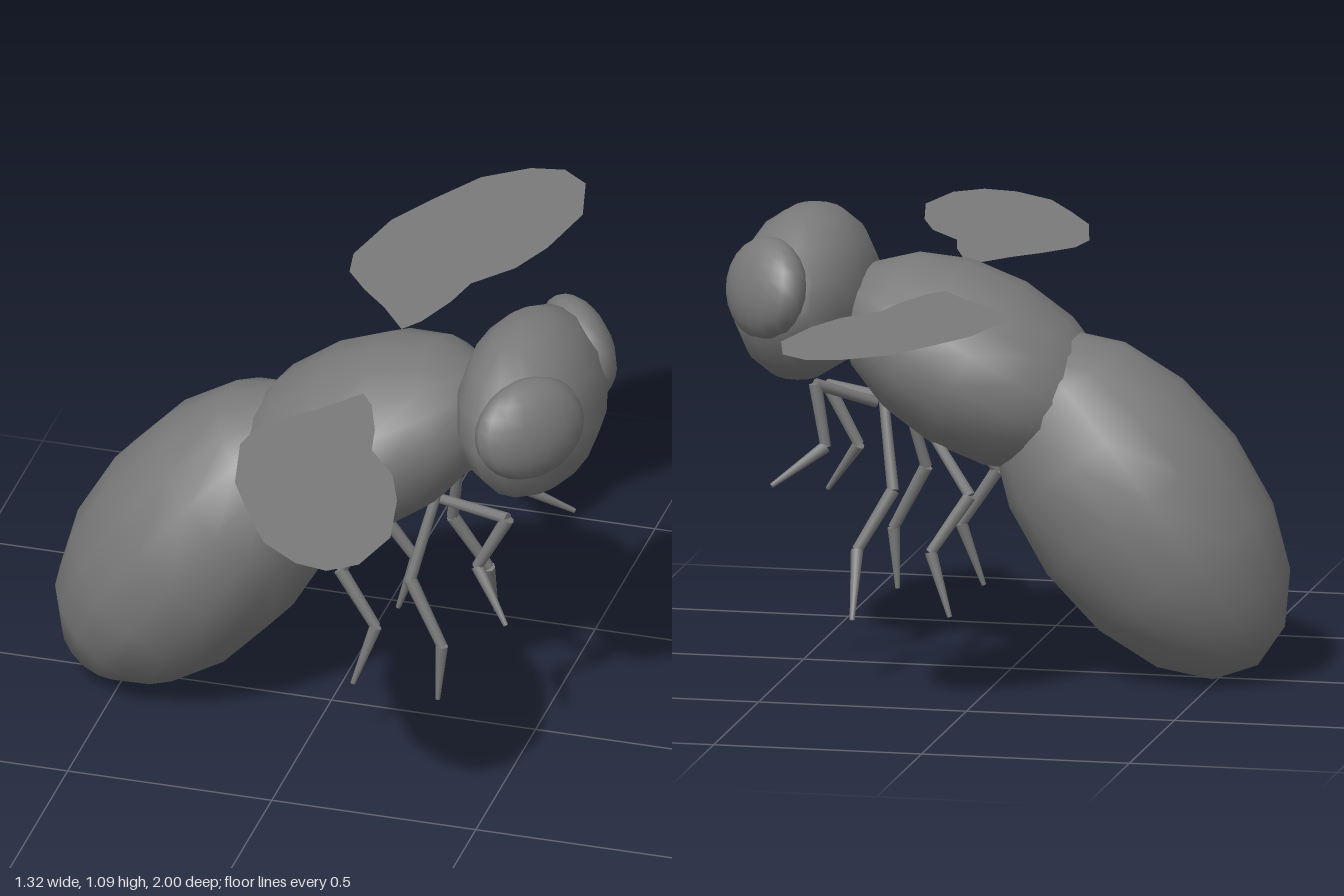
import * as THREE from 'three';

const material = new THREE.MeshStandardMaterial({ color: 0x7a7a7a });
const wingMaterial = new THREE.MeshStandardMaterial({ color: 0x7a7a7a, side: THREE.DoubleSide });

// Smooth, coarse ellipsoid; the pole runs along its local y axis
function ellipsoid(name, position, radii, rotation, rows = 8) {
  const mesh = new THREE.Mesh(new THREE.SphereGeometry(1, 16, rows), material);
  mesh.name = name;
  mesh.position.set(...position);
  mesh.scale.set(...radii);
  mesh.rotation.set(...rotation);
  return mesh;
}

// Tapered rod between two joints
function rod(name, from, to, r0, r1) {
  const a = new THREE.Vector3(...from), b = new THREE.Vector3(...to);
  const dir = b.clone().sub(a);
  const mesh = new THREE.Mesh(new THREE.CylinderGeometry(r1, r0, dir.length(), 8), material);
  mesh.name = name;
  mesh.position.copy(a).add(b).multiplyScalar(0.5);
  mesh.quaternion.setFromUnitVectors(new THREE.Vector3(0, 1, 0), dir.normalize());
  return mesh;
}

// Three-segment leg through four joints
function leg(name, joints) {
  const group = new THREE.Group();
  group.name = name;
  const parts = ['upperLeg', 'lowerLeg', 'foot'];
  const radii = [[0.012, 0.014], [0.016, 0.013], [0.015, 0.006]];
  parts.forEach((part, i) => group.add(rod(part, joints[i], joints[i + 1], ...radii[i])));
  return group;
}

// Flat wing blade, outline in x and z
const wingOutline = [
  [0.125, 0.16], [0.055, 0.25], [-0.01, 0.315], [-0.07, 0.39], [-0.085, 0.475], [-0.045, 0.655],
  [0.025, 0.785], [0.1, 0.91], [0.2, 0.985], [0.28, 1], [0.345, 0.95], [0.38, 0.805],
  [0.345, 0.63], [0.3, 0.515], [0.22, 0.415], [0.2, 0.32], [0.16, 0.21],
];

function wing(name, side) {
  const shape = new THREE.Shape(wingOutline.map(([x, z]) => new THREE.Vector2(x, -z * side)));
  const geometry = new THREE.ShapeGeometry(shape).rotateX(-Math.PI / 2);
  const mesh = new THREE.Mesh(geometry, wingMaterial);
  mesh.name = name;
  mesh.position.y = 0.945;
  return mesh;
}

export function createModel() {
  const model = new THREE.Group();
  model.name = 'fly';

  // Body
  model.add(
    ellipsoid('abdomen', [-0.312, 0.418, 0], [0.273, 0.467, 0.305], [0, 0, -0.645]),
    ellipsoid('thorax', [0.08, 0.744, 0], [0.212, 0.357, 0.3], [0, 0, -1.08]),
    ellipsoid('head', [0.492, 0.897, 0], [0.167, 0.208, 0.295], [0, 0, 0.13]),
  );

  // Eyes and wings on both sides
  for (const side of [1, -1]) {
    const label = side > 0 ? 'near' : 'far';
    model.add(
      ellipsoid(label + 'Eye', [0.545, 0.942, 0.205 * side], [0.076, 0.122, 0.148], [0, -0.67 * side, 0.18], 12),
      wing(label + 'Wing', side),
    );
  }

  // Legs, slightly different on each side
  model.add(
    leg('nearHindLeg', [[0.19, 0.62, 0.1], [0.065, 0.455, 0.15], [0.155, 0.32, 0.16], [0.105, 0.17, 0.18]]),
    leg('farHindLeg', [[0.19, 0.62, -0.1], [0.065, 0.455, -0.16], [0.155, 0.32, -0.18], [0.105, 0.17, -0.2]]),
    leg('nearMiddleLeg', [[0.285, 0.66, 0.1], [0.237, 0.455, 0.15], [0.32, 0.3, 0.17], [0.31, 0.155, 0.17]]),
    leg('farMiddleLeg', [[0.285, 0.66, -0.1], [0.25, 0.46, -0.16], [0.33, 0.32, -0.19], [0.327, 0.165, -0.26]]),
    leg('nearFrontLeg', [[0.26, 0.63, 0.05], [0.47, 0.645, 0.13], [0.395, 0.505, 0.13], [0.48, 0.385, 0.18]]),
    leg('farFrontLeg', [[0.31, 0.65, -0.07], [0.435, 0.71, -0.17], [0.41, 0.56, -0.17], [0.525, 0.475, -0.24]]),
  );
  return model;
}
